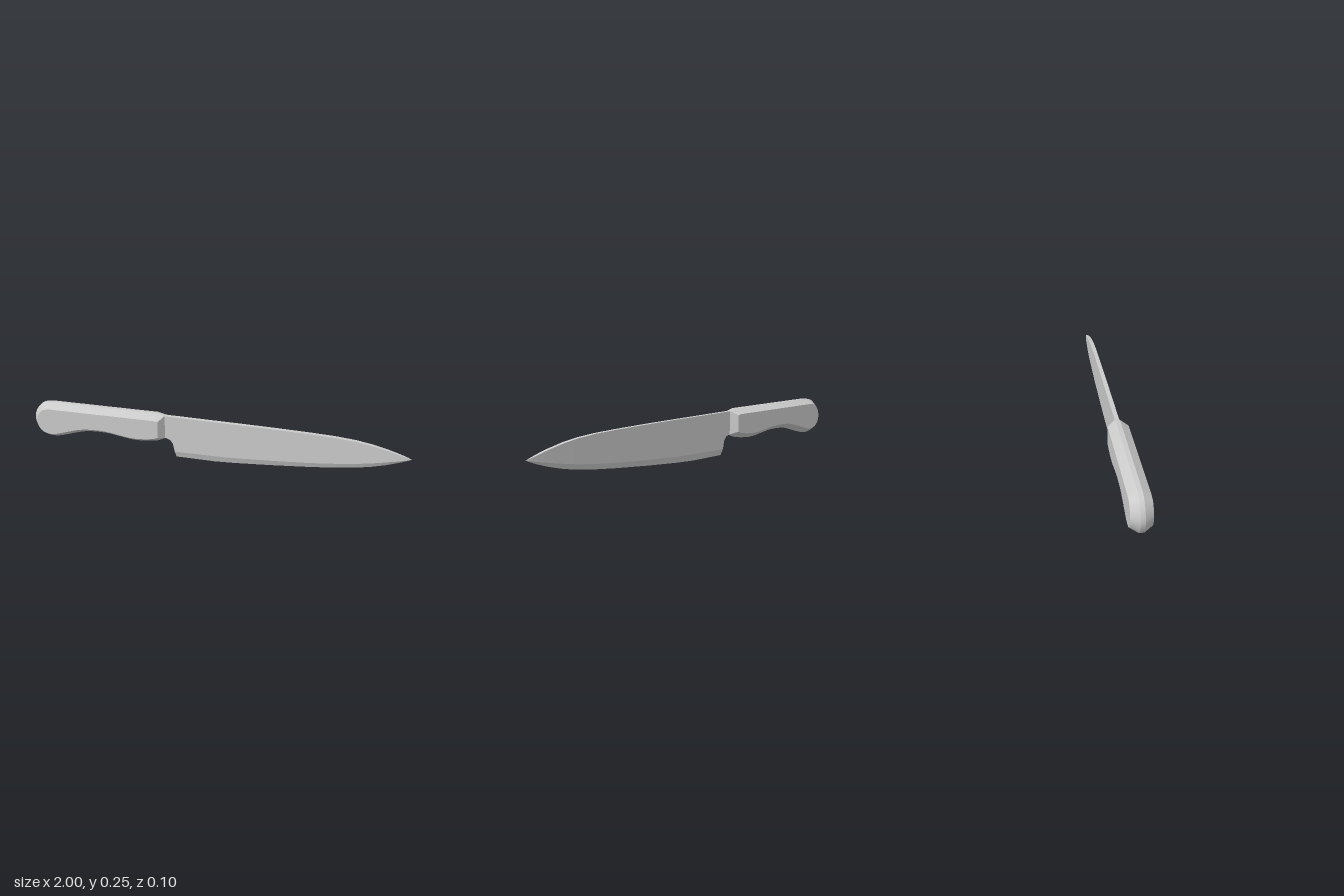
import * as THREE from 'three';
import { toCreasedNormals } from 'three/addons/utils/BufferGeometryUtils.js';

const v2 = (p) => new THREE.Vector2(p[0], p[1]);

function makeMesh(name, geometry, crease) {
  const material = new THREE.MeshStandardMaterial({ color: 0xcccccc });
  const mesh = new THREE.Mesh(toCreasedNormals(geometry, crease), material);
  mesh.name = name;
  return mesh;
}

// Contoured grip: side outline with one wide chamfer on each face
function createHandle() {
  const belly = [
    [-0.31, 0.09], [-0.36, 0.082], [-0.43, 0.078], [-0.5, 0.086], [-0.58, 0.099],
    [-0.65, 0.101], [-0.72, 0.095], [-0.8, 0.072], [-0.86, 0.054], [-0.9, 0.049],
    [-0.94, 0.055], [-0.975, 0.078], [-0.995, 0.115], [-1, 0.15], [-0.99, 0.19],
    [-0.965, 0.225], [-0.935, 0.241], [-0.9, 0.247],
  ];
  const shape = new THREE.Shape();
  shape.moveTo(-0.31, 0.246);
  shape.lineTo(-0.268, 0.236);
  shape.lineTo(-0.268, 0.108);
  shape.lineTo(-0.31, 0.09);
  shape.splineThru(belly.slice(1).map(v2));
  shape.closePath();

  const core = 0.022, chamfer = 0.027;
  const geometry = new THREE.ExtrudeGeometry(shape, {
    depth: core, curveSegments: 2, bevelSegments: 1,
    bevelSize: chamfer, bevelOffset: -chamfer, bevelThickness: 0.04,
  });
  geometry.translate(0, 0, -core / 2);
  return makeMesh('handle', geometry, 0.45);
}

// Blade lofted along x; the lower strip is ground down to a sharp edge
function createBlade() {
  // x, spine y, grind line y, edge y, half thickness, half thickness at edge
  const sections = [
    [-0.3, 0.235, 0.11, 0.11, 0.011, 0.011],
    [-0.265, 0.235, 0.11, 0.11, 0.011, 0.011],
    [-0.24, 0.234, 0.1, 0.1, 0.011, 0.011],
    [-0.226, 0.234, 0.08, 0.08, 0.011, 0.011],
    [-0.217, 0.234, 0.036, 0.036, 0.011, 0.011],
    [-0.21, 0.234, 0.035, 0.002, 0.011, 0],
    [0, 0.231, 0.036, 0, 0.011, 0],
    [0.1, 0.23, 0.038, 0.004, 0.011, 0],
    [0.3, 0.227, 0.048, 0.017, 0.011, 0],
    [0.5, 0.222, 0.061, 0.033, 0.011, 0],
    [0.62, 0.217, 0.073, 0.045, 0.011, 0],
    [0.72, 0.208, 0.085, 0.058, 0.011, 0],
    [0.8, 0.195, 0.098, 0.073, 0.011, 0],
    [0.88, 0.176, 0.114, 0.094, 0.01, 0],
    [0.94, 0.159, 0.126, 0.114, 0.008, 0],
    [0.98, 0.146, 0.135, 0.13, 0.005, 0],
    [1, 0.139, 0.139, 0.139, 0, 0],
  ];
  const rings = sections.map(([x, spine, grind, edge, w, e]) => [
    [x, spine, w], [x, spine, -w], [x, grind, -w],
    [x, edge, -e], [x, edge, e], [x, grind, w],
  ].map((p) => new THREE.Vector3(...p)));

  const positions = [];
  const triangle = (a, b, c) => {
    const area = b.clone().sub(a).cross(c.clone().sub(a)).length();
    if (area > 1e-9) for (const p of [a, b, c]) positions.push(p.x, p.y, p.z);
  };
  for (let i = 0; i < rings.length - 1; i++) {
    for (let j = 0; j < 6; j++) {
      const k = (j + 1) % 6;
      const [a, b, c, d] = [rings[i][j], rings[i + 1][j], rings[i + 1][k], rings[i][k]];
      triangle(a, b, c);
      triangle(a, c, d);
    }
  }
  const geometry = new THREE.BufferGeometry();
  geometry.setAttribute('position', new THREE.Float32BufferAttribute(positions, 3));
  return makeMesh('blade', geometry, 0.25);
}

export function createModel() {
  const model = new THREE.Group();
  model.name = 'kitchenKnife';
  model.add(createHandle(), createBlade());
  return model;
}
